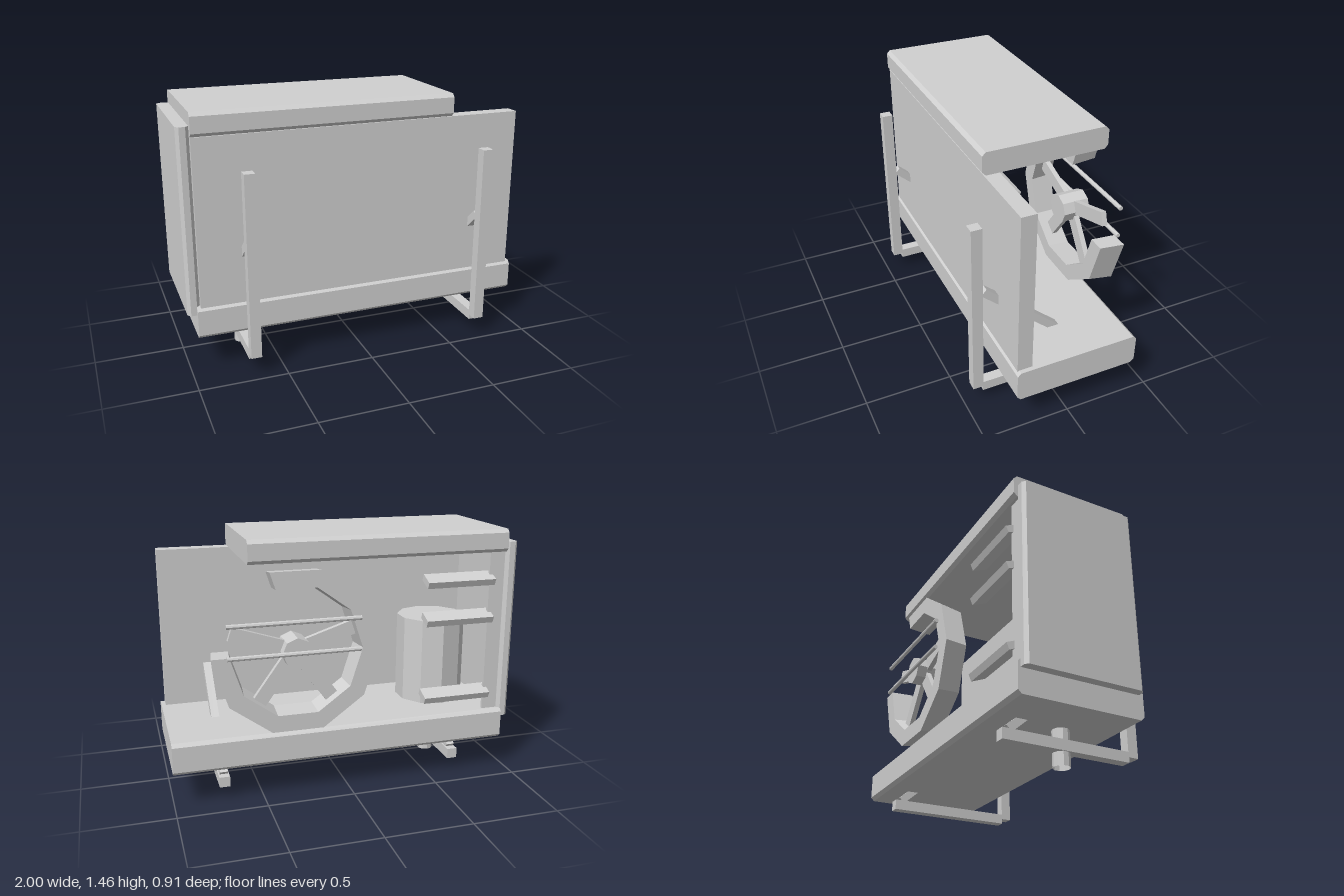
import * as THREE from 'three';

const grey = new THREE.MeshStandardMaterial({ color: 0xd0d0d0, flatShading: true });
grey.name = 'light grey';
const greyOpen = grey.clone();
greyOpen.side = THREE.DoubleSide;
greyOpen.name = 'light grey';

function add(parent, name, geometry, x = 0, y = 0, z = 0, material = grey) {
  const mesh = new THREE.Mesh(geometry, material);
  mesh.name = name;
  mesh.position.set(x, y, z);
  parent.add(mesh);
  return mesh;
}

// box given by its limits
function block(parent, name, x0, x1, y0, y1, z0, z1) {
  return add(parent, name, new THREE.BoxGeometry(x1 - x0, y1 - y0, z1 - z0),
    (x0 + x1) / 2, (y0 + y1) / 2, (z0 + z1) / 2);
}

// rectangle with cut corners, centred on the origin
function cutRectangle(w, h, c) {
  const a = w / 2, b = h / 2;
  return new THREE.Shape([
    [-a + c, -b], [a - c, -b], [a, -b + c], [a, b - c],
    [a - c, b], [-a + c, b], [-a, b - c], [-a, -b + c],
  ].map(([x, y]) => new THREE.Vector2(x, y)));
}

function extrude(shape, depth) {
  return new THREE.ExtrudeGeometry(shape, { depth, bevelEnabled: false });
}

// tray running along x with chamfered long edges
function tray(parent, name, x0, x1, y0, y1, z0, z1) {
  const g = extrude(cutRectangle(z1 - z0, y1 - y0, 0.02), x1 - x0).rotateY(Math.PI / 2);
  return add(parent, name, g, x0, (y0 + y1) / 2, (z0 + z1) / 2);
}

// partial ten-sided ring of rectangular section, slightly wider at the back
function ringGeometry(fromStep, toStep, z0, z1) {
  const pos = [];
  const section = (k) => [[0.37, z0], [0.47, z0], [0.45, z1], [0.355, z1]].map(([r, z]) => {
    const a = (k * Math.PI) / 5;
    return [r * Math.cos(a), r * Math.sin(a), z];
  });
  const quad = (a, b, c, d) => pos.push(...a, ...b, ...c, ...a, ...c, ...d);
  for (let k = fromStep; k < toStep; k++) {
    const p = section(k), q = section(k + 1);
    for (let i = 0; i < 4; i++) {
      const j = (i + 1) % 4;
      quad(p[i], q[i], q[j], p[j]);
    }
  }
  const s = section(fromStep), e = section(toStep);
  quad(s[0], s[1], s[2], s[3]);
  quad(e[3], e[2], e[1], e[0]);
  const g = new THREE.BufferGeometry();
  g.setAttribute('position', new THREE.Float32BufferAttribute(pos, 3));
  g.computeVertexNormals();
  return g;
}

export function createModel() {
  const model = new THREE.Group();
  model.name = 'outdoorUnit';

  // casing
  const casing = new THREE.Group();
  casing.name = 'casing';
  model.add(casing);
  tray(casing, 'base', -0.95, 1.0, 0.2, 0.385, -0.41, 0.31);
  tray(casing, 'topCover', -0.93, 0.56, 1.33, 1.46, -0.41, 0.31);
  block(casing, 'frontPanel', -0.93, 0.975, 0.38, 1.33, 0.215, 0.3);
  add(casing, 'endPanel',
    extrude(cutRectangle(0.07, 0.68, 0.018), 1.05).rotateX(-Math.PI / 2), -0.965, 0.335, -0.055);
  block(casing, 'rearReturn', -0.94, -0.84, 0.38, 1.33, -0.375, -0.357);

  // short louvres on the rear return
  for (const y of [1.18, 0.96, 0.5]) {
    const slat = block(casing, 'louvre', -0.86, -0.45, y - 0.02, y + 0.02, -0.415, -0.325);
    slat.rotation.x = -0.4;
  }

  // compressor and drain pipe
  add(model, 'compressor', new THREE.CylinderGeometry(0.205, 0.205, 0.52, 10), -0.64, 0.64, -0.02);
  add(model, 'drainPipe', new THREE.CylinderGeometry(0.047, 0.047, 0.22, 10, 1, true),
    -0.645, 0.11, 0.01, greyOpen);

  // fan: open ring, hub, blades and guard rods
  const fan = new THREE.Group();
  fan.name = 'fan';
  fan.position.set(0.305, 0.845, 0);
  model.add(fan);
  add(fan, 'fanRing', ringGeometry(2, 10, -0.425, -0.29));
  add(fan, 'fanHub', new THREE.CylinderGeometry(0.085, 0.085, 0.16, 8).rotateX(Math.PI / 2), 0, 0, -0.355);
  for (const degrees of [18, 162, 234, 306]) {
    const blade = add(fan, 'fanBlade',
      new THREE.BoxGeometry(0.32, 0.08, 0.03).translate(0.215, 0, 0), 0, 0, -0.36);
    blade.rotation.z = THREE.MathUtils.degToRad(degrees);
  }
  for (const y of [0, 0.175]) {
    add(fan, 'guardRod', new THREE.CylinderGeometry(0.013, 0.013, 0.74, 8).rotateZ(Math.PI / 2), 0.015, y, -0.441);
  }

  // wall brackets
  for (const x of [-0.667, 0.715]) {
    const bracket = new THREE.Group();
    bracket.name = 'wallBracket';
    bracket.position.x = x;
    model.add(bracket);
    block(bracket, 'bracketUpright', -0.03, 0.03, 0.105, 1.155, 0.392, 0.453);
    block(bracket, 'bracketArm', -0.03, 0.03, 0.075, 0.135, -0.355, 0.395);
    const brace = add(bracket, 'bracketBrace', new THREE.BoxGeometry(0.046, 0.045, 0.93), 0, 0.445, 0.035);
    brace.rotation.x = -Math.atan2(0.61, 0.69);
  }

  return model;
}
